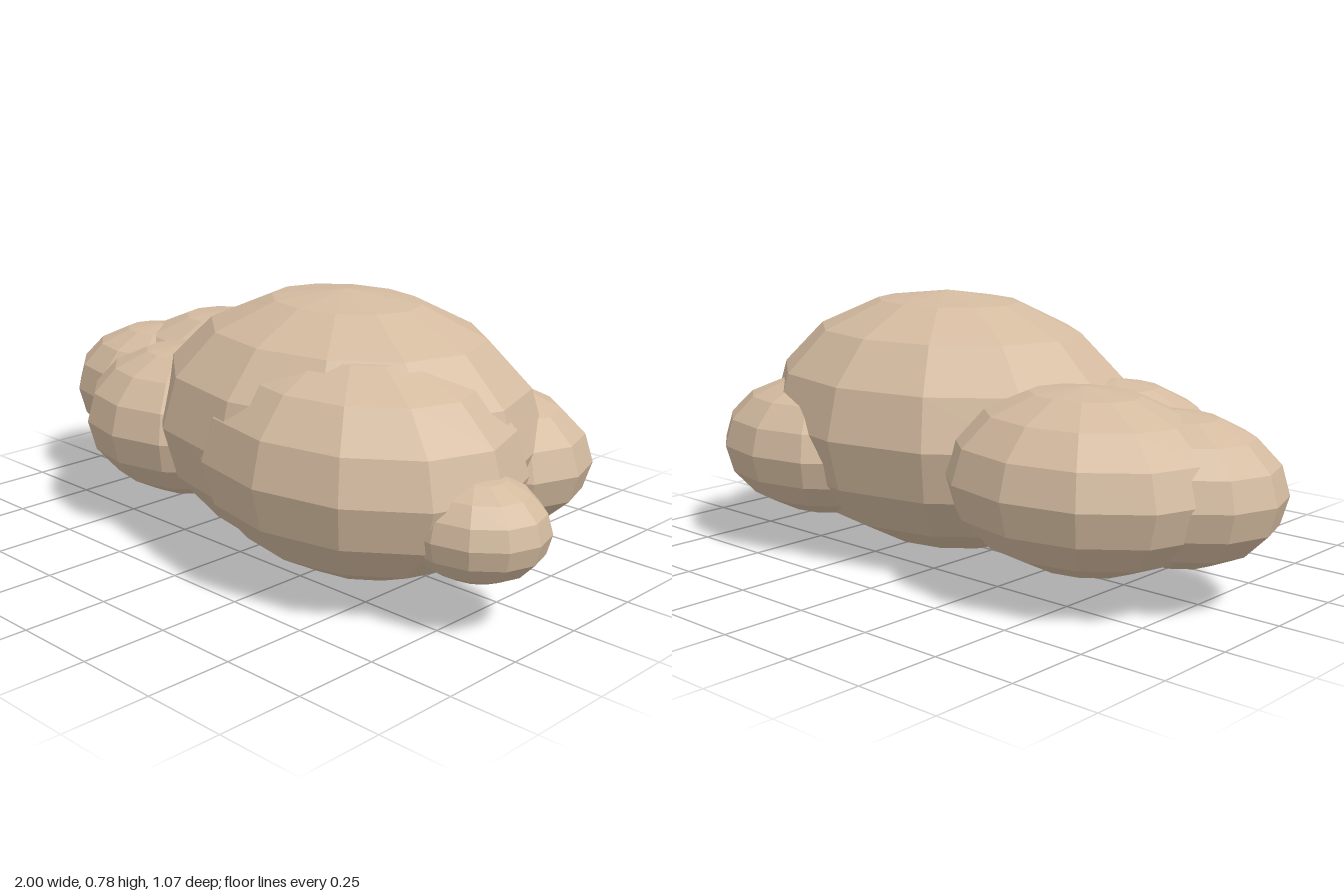
import * as THREE from 'three';

// Each lobe: name, centre, radii
const LOBES = [
  ['mainPuff', [0.18, 0.39, 0], [0.615, 0.389, 0.49]],
  ['frontLeftPuff', [0.36, 0.36, 0.145], [0.51, 0.322, 0.39]],
  ['backLeftPuff', [0.465, 0.31, -0.26], [0.35, 0.21, 0.275]],
  ['leftTipPuff', [0.795, 0.28, 0.165], [0.205, 0.142, 0.177]],
  ['backRightPuff', [-0.48, 0.333, -0.16], [0.42, 0.253, 0.34]],
  ['rightTipPuff', [-0.68, 0.32, -0.03], [0.32, 0.21, 0.26]],
  ['frontRightPuff', [-0.35, 0.32, 0.147], [0.34, 0.23, 0.29]],
];

export function createModel() {
  const model = new THREE.Group();
  model.name = 'cloud';

  const sand = new THREE.MeshStandardMaterial({ color: 0xd4bba0, flatShading: true });
  sand.name = 'sand';

  // Overlapping low-poly ellipsoids
  for (const [name, centre, radii] of LOBES) {
    const puff = new THREE.Mesh(new THREE.SphereGeometry(1, 12, 8).scale(...radii), sand);
    puff.name = name;
    puff.position.set(...centre);
    model.add(puff);
  }
  return model;
}
